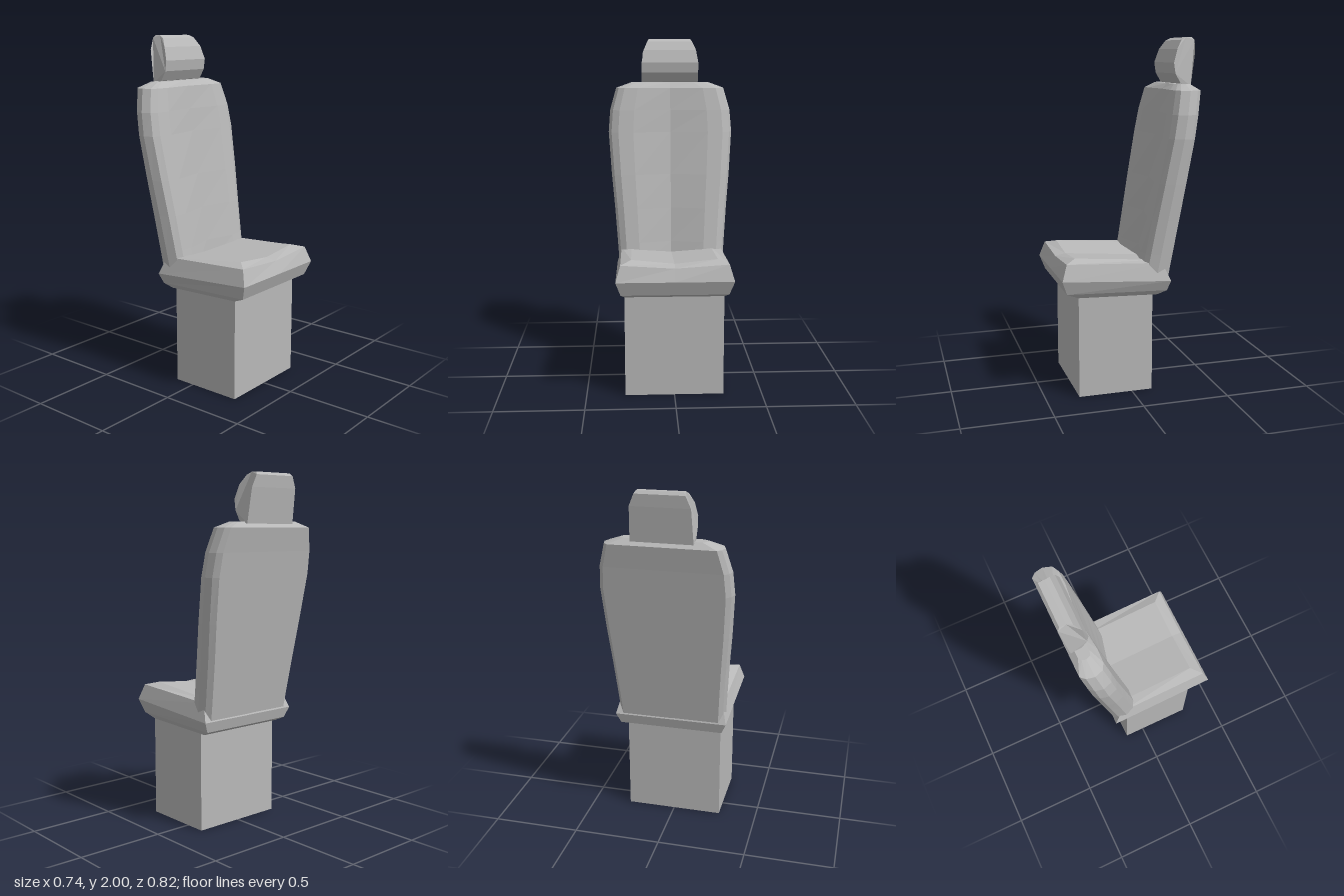
import * as THREE from 'three';

// Faceted loft through rings of [x, y, z] points (counterclockwise from above, bottom ring first)
function loft(rings, capped = true) {
  const pos = [];
  const tri = (a, b, c) => pos.push(...a, ...b, ...c);
  const n = rings[0].length;
  for (let r = 0; r < rings.length - 1; r++) {
    for (let i = 0; i < n; i++) {
      const j = (i + 1) % n, lo = rings[r], hi = rings[r + 1];
      tri(lo[i], lo[j], hi[j]);
      tri(lo[i], hi[j], hi[i]);
    }
  }
  if (capped) {
    const bottom = rings[0], top = rings[rings.length - 1];
    for (let i = 1; i < n - 1; i++) {
      tri(bottom[0], bottom[i + 1], bottom[i]);
      tri(top[0], top[i], top[i + 1]);
    }
  }
  const g = new THREE.BufferGeometry();
  g.setAttribute('position', new THREE.Float32BufferAttribute(pos, 3));
  g.computeVertexNormals();
  return g;
}

export function createModel() {
  const group = new THREE.Group();
  const grey = new THREE.MeshStandardMaterial({ color: 0xb8b8b8, side: THREE.DoubleSide });
  grey.name = 'grey';
  const add = (name, geometry) => {
    const mesh = new THREE.Mesh(geometry, grey);
    mesh.name = name;
    group.add(mesh);
  };

  // Pedestal: four walls, open underneath
  const square = (y) => [[-0.28, y, 0.31], [0.28, y, 0.31], [0.28, y, -0.12], [-0.28, y, -0.12]];
  add('pedestal', loft([square(0), square(0.59)], false));

  // Seat cushion: half width, front z, back z, front y, back y, dip along the middle
  const cushion = [
    [0.28, 0.31, -0.15, 0.58, 0.565, 0],
    [0.30, 0.38, -0.20, 0.61, 0.59, 0],
    [0.327, 0.41, -0.215, 0.69, 0.65, 0],
    [0.30, 0.38, -0.17, 0.78, 0.752, 0.02],
    [0.24, 0.32, -0.16, 0.797, 0.757, 0.025],
  ].map(([w, zf, zb, yf, yb, dip]) => [
    [0, yf - dip, zf], [w, yf, zf], [w, yb, zb],
    [0, yb - dip, zb], [-w, yb, zb], [-w, yf, zf],
  ]);
  add('seatCushion', loft(cushion));

  // Backrest: each row is y, half width, front z, back z, hollow of the front
  const rows = [
    [0.65, 0.312, -0.05, -0.21, 0.05],
    [0.80, 0.322, -0.077, -0.235, 0.047],
    [1.00, 0.337, -0.112, -0.268, 0.044],
    [1.20, 0.355, -0.148, -0.300, 0.04],
    [1.45, 0.372, -0.194, -0.341, 0.034],
    [1.58, 0.362, -0.217, -0.362, 0.028],
    [1.71, 0.325, -0.245, -0.386, 0.02],
    [1.742, 0.235, -0.285, -0.355, 0.008],
  ];
  // Half section: fraction of half width, fraction of depth
  const side = [[0.6, 0], [0.84, 0.02], [0.95, 0.15], [1, 0.5], [0.97, 0.82], [0.9, 1]];
  add('backrest', loft(rows.map(([y, w, zf, zb, hollow]) => {
    const at = ([u, t], s) => [s * u * w, y, zf + (zb - zf) * t];
    return [
      [0, y, zf - hollow],
      ...side.map((p) => at(p, 1)),
      ...side.slice().reverse().map((p) => at(p, -1)),
    ];
  })));

  // Headrest: side profile (z, y) extruded across, narrowing towards the top
  const profile = [
    [-0.375, 1.73], [-0.315, 1.745], [-0.283, 1.80], [-0.274, 1.86], [-0.298, 1.935],
    [-0.33, 1.985], [-0.36, 2.0], [-0.395, 2.0], [-0.408, 1.985], [-0.402, 1.92],
  ].map(([z, y]) => new THREE.Vector2(z, y));
  const head = new THREE.ExtrudeGeometry(new THREE.Shape(profile), { depth: 2, bevelEnabled: false });
  head.translate(0, 0, -1).rotateY(-Math.PI / 2);
  const p = head.attributes.position;
  for (let i = 0; i < p.count; i++) {
    const t = Math.max(0, (p.getY(i) - 1.86) / 0.14);
    p.setX(i, p.getX(i) * (0.17 - 0.045 * t * t));
  }
  head.computeVertexNormals();
  add('headrest', head);

  return group;
}
